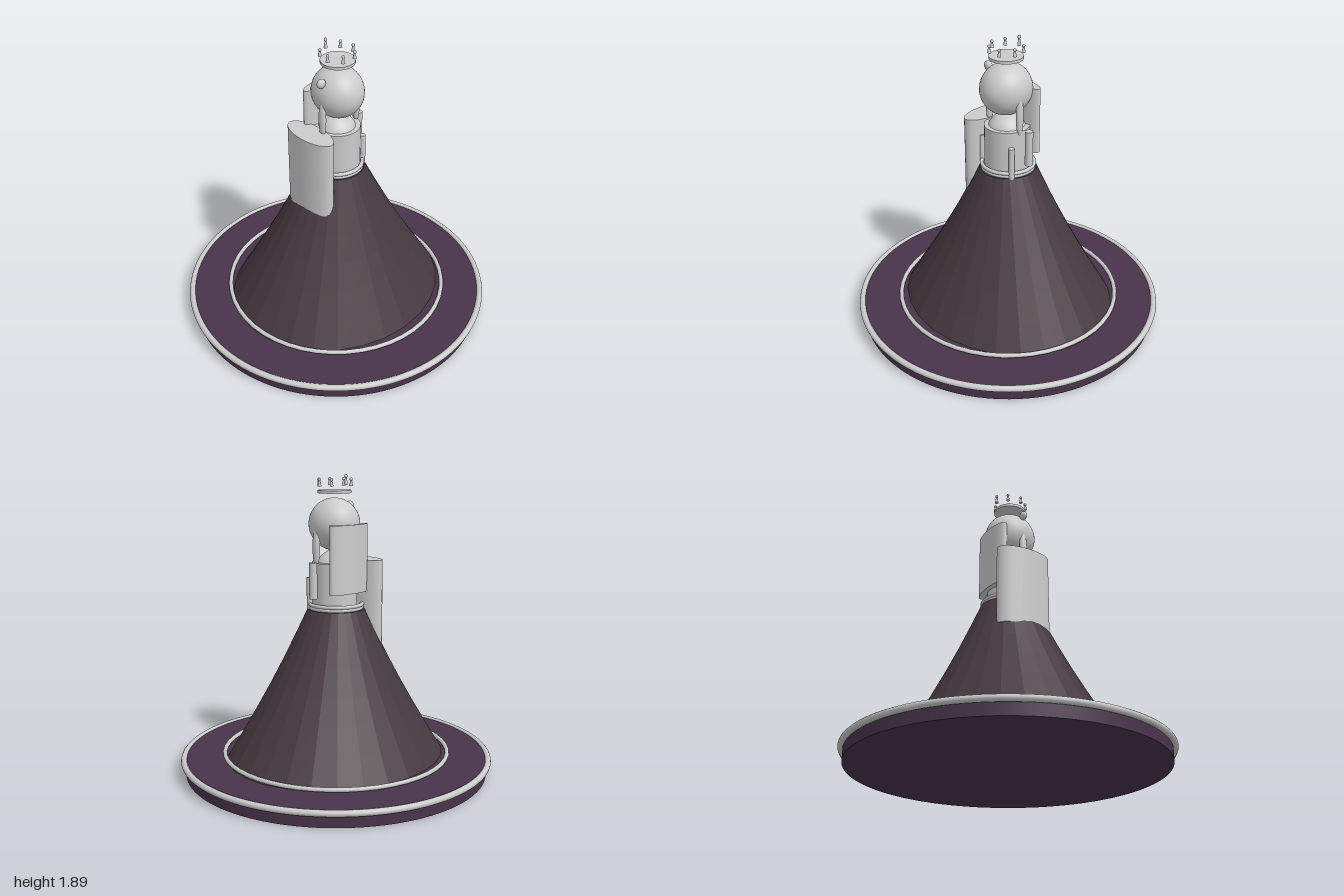
import * as THREE from 'three';

const grey = new THREE.MeshStandardMaterial({ color: 0xcccccc });
const plum = new THREE.MeshStandardMaterial({ color: 0x48344a });
const cloth = new THREE.MeshStandardMaterial({ color: 0x463a40, flatShading: true });

export function createModel() {
  const model = new THREE.Group();

  function add(name, geometry, position, scale = [1, 1, 1], material = grey, parent = model) {
    const mesh = new THREE.Mesh(geometry, material);
    mesh.name = name;
    mesh.position.set(...position);
    mesh.scale.set(...scale);
    parent.add(mesh);
    return mesh;
  }
  const ball = (name, r, position) => add(name, new THREE.SphereGeometry(1, 40, 28), position, r);
  const post = (name, r, y0, y1, x, z, depth = 1, sides = 40) =>
    add(name, new THREE.CylinderGeometry(r, r, y1 - y0, sides), [x, (y0 + y1) / 2, z], [1, 1, depth]);
  function ring(name, radius, tube, y, segments = 64) {
    const geometry = new THREE.TorusGeometry(radius, tube, 12, segments).rotateX(Math.PI / 2);
    return add(name, geometry, [0, y, 0]);
  }

  // Round base with rim and inner trim
  add('base', new THREE.CylinderGeometry(0.97, 0.97, 0.1, 96), [0, 0.05, 0], [1, 1, 1], plum);
  ring('baseRim', 0.98, 0.02, 0.09, 96);
  ring('hemTrim', 0.72, 0.014, 0.12, 48);

  // Skirt: round at the waist, wider than deep at the hem, slightly concave
  const skirt = new THREE.CylinderGeometry(1, 1, 1, 28, 6);
  const p = skirt.attributes.position;
  for (let i = 0; i < p.count; i++) {
    const t = p.getY(i) + 0.5;
    const bow = 0.02 * Math.sin(Math.PI * t);
    const rx = 0.73 + (0.18 - 0.73) * t - bow;
    const rz = 0.65 + (0.18 - 0.65) * t - bow;
    p.setXYZ(i, p.getX(i) * rx, 0.1 + 0.95 * t, p.getZ(i) * rz);
  }
  skirt.computeVertexNormals();
  add('skirt', skirt, [0, 0, 0], [1, 1, 1], cloth);

  // Body
  post('torso', 0.142, 1.03, 1.345, 0.003, 0.01);
  ball('shoulders', [0.125, 0.13, 0.125], [0, 1.29, 0.01]);
  ring('lowerBelt', 0.163, 0.012, 1.06);
  ring('upperBelt', 0.165, 0.012, 1.08);

  // Head and hair
  ball('head', [0.155, 0.163, 0.168], [0, 1.58, 0.015]);
  post('backHair', 0.155, 1.16, 1.585, 0, -0.115, 0.3);
  ball('hairOrnament', [0.03, 0.03, 0.022], [-0.145, 1.687, 0.03]);

  // Paired side locks and arms
  for (const [side, s] of [['left', 1], ['right', -1]]) {
    ball(side + 'SideLock', [0.02, 0.13, 0.026], [s * 0.138, 1.445, 0.03]);
    post(side + 'UpperArm', 0.025, 1.13, 1.355, s * 0.19, 0, 1, 16);
    post(side + 'Forearm', 0.018, 1.045, 1.25, s * 0.138, 0.095, 1, 16);
  }

  // Tall oval panel sunk into the skirt on the right
  const panel = post('sidePanel', 0.09, 0.83, 1.355, -0.198, -0.012, 1.0, 32);
  panel.scale.set(0.92, 1, 2.07);

  // Floating crown: disc and seven finials
  const crown = new THREE.Group();
  crown.name = 'crown';
  crown.position.set(0, 1.78, 0.015);
  model.add(crown);
  add('crownDisc', new THREE.CylinderGeometry(0.105, 0.105, 0.018, 40), [0, 0, 0], [1, 1, 1], grey, crown);
  for (let i = 0; i < 7; i++) {
    const a = (i / 7) * Math.PI * 2;
    const tall = i === 0 ? 1.3 : 1;
    const finial = new THREE.Group();
    finial.name = 'finial';
    finial.position.set(Math.sin(a) * 0.104, i === 0 ? 0.045 : 0.034, -Math.cos(a) * 0.104);
    finial.scale.y = tall;
    crown.add(finial);
    add('finialStem', new THREE.CylinderGeometry(0.005, 0.012, 0.036, 10), [0, 0.018, 0], [1, 1, 1], grey, finial);
    add('finialBead', new THREE.SphereGeometry(0.01, 12, 8), [0, 0.04, 0], [1, 1, 1], grey, finial);
  }
  return model;
}
